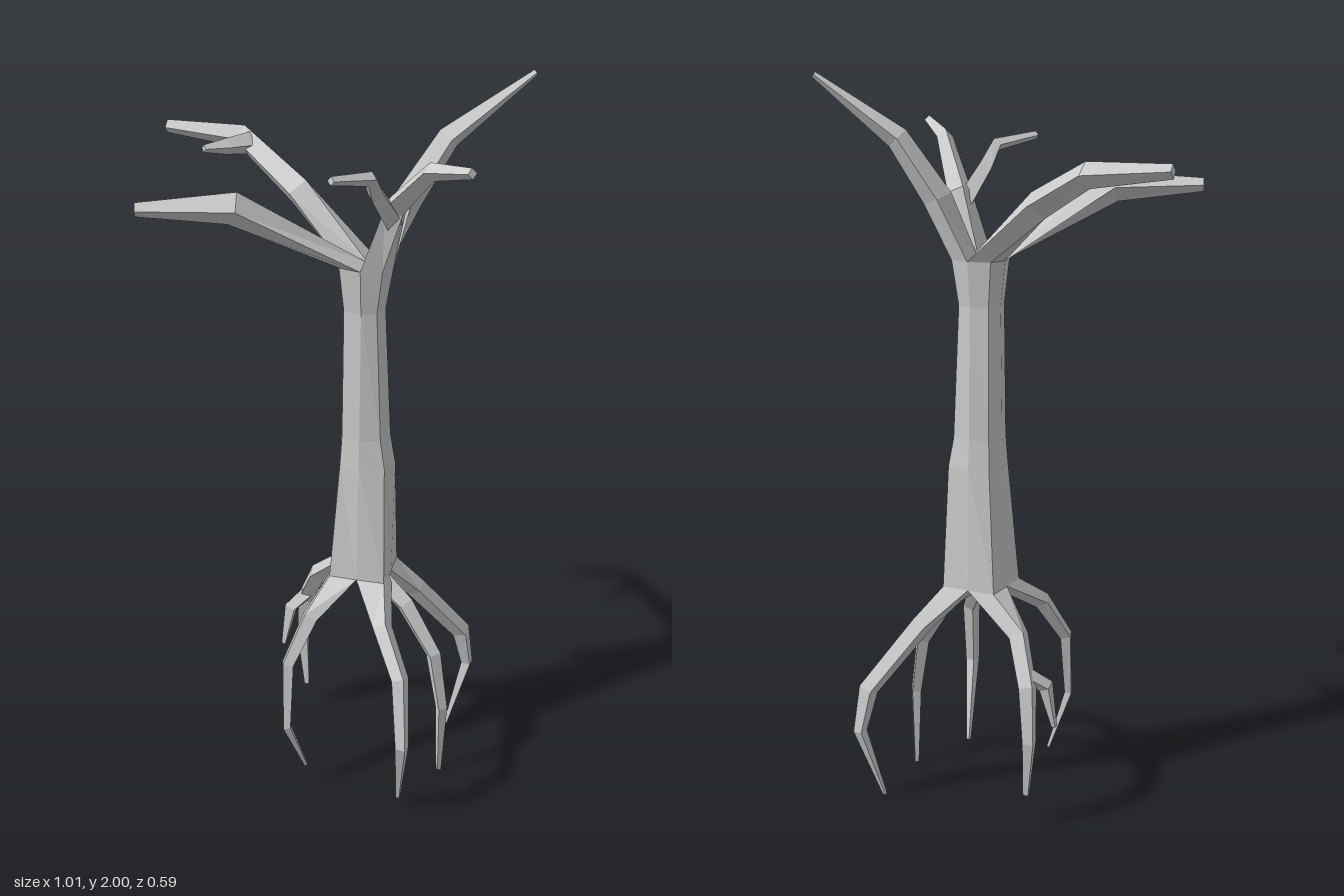
import * as THREE from 'three';

const material = new THREE.MeshStandardMaterial({ color: 0xcccccc, flatShading: true });
const CX = 0.12, CZ = -0.05;
const V = (x, y, z) => new THREE.Vector3(x, y, z);

// Joins rings of equal point count into a faceted skin
function skin(name, rings, flip, caps) {
  const pos = [];
  const tri = (a, b, c) => (flip ? [a, c, b] : [a, b, c]).forEach(p => pos.push(p.x, p.y, p.z));
  const n = rings[0].length;
  for (let r = 0; r + 1 < rings.length; r++) {
    const a = rings[r], b = rings[r + 1];
    for (let i = 0; i < n; i++) {
      const j = (i + 1) % n;
      tri(a[i], b[i], b[j]);
      tri(a[i], b[j], a[j]);
    }
  }
  if (caps) {
    const e = rings[rings.length - 1];
    for (let i = 1; i + 1 < n; i++) tri(e[0], e[i + 1], e[i]);
  }
  const g = new THREE.BufferGeometry();
  g.setAttribute('position', new THREE.Float32BufferAttribute(pos, 3));
  g.computeVertexNormals();
  const mesh = new THREE.Mesh(g, material);
  mesh.name = name;
  return mesh;
}

// Eight-sided trunk ring: y, x min, x max, z min, z max, corner reach (1.41 makes it square)
function trunkRing([y, x0, x1, z0, z1, corner]) {
  return Array.from({ length: 8 }, (_, i) => {
    const a = i * Math.PI / 4;
    const k = i % 2 ? corner : 1;
    const c = Math.cos(a) * k, s = Math.sin(a) * k;
    return V(CX + c * (c > 0 ? x1 - CX : CX - x0), y, CZ + s * (s > 0 ? z1 - CZ : CZ - z0));
  });
}

// Four-sided limb along points [x, y, z, radius]; an optional first ring joins it to the trunk
function limb(name, path, down = false, start = null) {
  const pts = path.map(p => V(p[0], p[1], p[2]));
  const last = pts[pts.length - 1];
  const from = start ? V(CX, 0, CZ) : pts[0];
  const m = Math.atan2(last.z - from.z, last.x - from.x);
  const side = V(Math.sin(m), 0, -Math.cos(m));
  const rings = pts.map((p, i) => {
    const before = i ? pts[i - 1] : (start ? start[2] : p);
    const after = pts[Math.min(i + 1, pts.length - 1)];
    const t = p.clone().sub(before).normalize().add(after.clone().sub(p).normalize()).normalize();
    const u = V().crossVectors(t, side).normalize().multiplyScalar(down ? -1 : 1);
    const s = side.clone().addScaledVector(t, -side.dot(t)).normalize();
    const r = path[i][3];
    return [[u, r], [s, r], [u, -r], [s, -r]].map(([d, k]) => p.clone().addScaledVector(d, k));
  });
  if (start) rings.unshift(start);
  return skin(name, rings, down, true);
}

export function createModel() {
  const tree = new THREE.Group();
  tree.name = 'bareTree';

  // Trunk
  const trunk = [
    [0.62, 0.04, 0.2, -0.13, 0.03, 1.38],
    [0.96, 0.05, 0.205, -0.122, 0.02, 1.13],
    [1.04, 0.053, 0.19, -0.115, 0.016, 1.1],
    [1.4, 0.056, 0.17, -0.105, 0.015, 1.1],
    [1.52, 0.042, 0.19, -0.115, 0.028, 1.1],
  ].map(trunkRing);
  tree.add(skin('trunk', trunk, false, false));

  // Each main limb grows from one quarter of a trunk end
  const quarter = (ring, q, y) =>
    [V(CX, y, CZ), ring[q * 2], ring[q * 2 + 1], ring[(q * 2 + 2) % 8]];
  const branch = (name, q, path) => tree.add(limb(name, path, false, quarter(trunk[4], q, 1.52)));
  const root = (name, q, path) => tree.add(limb(name, path, true, quarter(trunk[0], q, 0.62)));

  // Branches
  branch('frontLeftBranch', 0, [
    [0.203, 1.69, 0.0, 0.034], [0.32, 1.825, 0.135, 0.023], [0.44, 1.863, 0.26, 0.013]]);
  tree.add(limb('frontLeftTwig', [
    [0.195, 1.65, -0.005, 0.03], [0.172, 1.745, 0.085, 0.024], [0.178, 1.805, 0.165, 0.018], [0.113, 1.827, 0.285, 0.011]]));
  branch('frontRightBranch', 1, [[-0.17, 1.705, 0.17, 0.042], [-0.39, 1.71, 0.263, 0.018]]);
  branch('backRightBranch', 2, [
    [-0.085, 1.675, -0.118, 0.04], [-0.288, 1.768, -0.268, 0.033], [-0.503, 1.783, -0.265, 0.018]]);
  tree.add(limb('backRightTwig', [
    [-0.26, 1.76, -0.24, 0.03], [-0.3, 1.765, -0.17, 0.022], [-0.343, 1.77, -0.112, 0.01]]));
  branch('backLeftBranch', 3, [
    [0.21, 1.68, -0.107, 0.039], [0.3, 1.835, -0.154, 0.031], [0.5, 1.995, -0.232, 0.008]]);

  // Roots
  root('frontLeftRoot', 0, [
    [0.22, 0.54, 0.125, 0.028], [0.293, 0.44, 0.215, 0.025], [0.312, 0.25, 0.255, 0.02], [0.287, 0.02, 0.177, 0.007]]);
  root('frontRightRoot', 1, [
    [0.01, 0.53, 0.115, 0.026], [-0.035, 0.41, 0.18, 0.021], [-0.03, 0.22, 0.21, 0.014], [0.01, 0.06, 0.157, 0.006]]);
  root('backRightRoot', 2, [
    [-0.04, 0.52, -0.14, 0.03], [-0.095, 0.4, -0.198, 0.027], [-0.108, 0.25, -0.215, 0.021], [-0.093, 0.09, -0.203, 0.01]]);
  tree.add(limb('backRightRootlet', [
    [-0.08, 0.43, -0.185, 0.024], [-0.125, 0.39, -0.145, 0.022], [-0.143, 0.27, -0.13, 0.008]], true));
  root('backLeftRoot', 3, [
    [0.25, 0.51, -0.16, 0.03], [0.372, 0.33, -0.25, 0.028], [0.389, 0.21, -0.272, 0.019], [0.34, 0.008, -0.228, 0.006]]);
  tree.add(limb('leftRoot', [
    [0.15, 0.62, -0.035, 0.035], [0.25, 0.54, -0.015, 0.028], [0.34, 0.4, 0.003, 0.023],
    [0.37, 0.23, 0.01, 0.018], [0.367, 0.006, 0, 0.008]], true));

  return tree;
}
